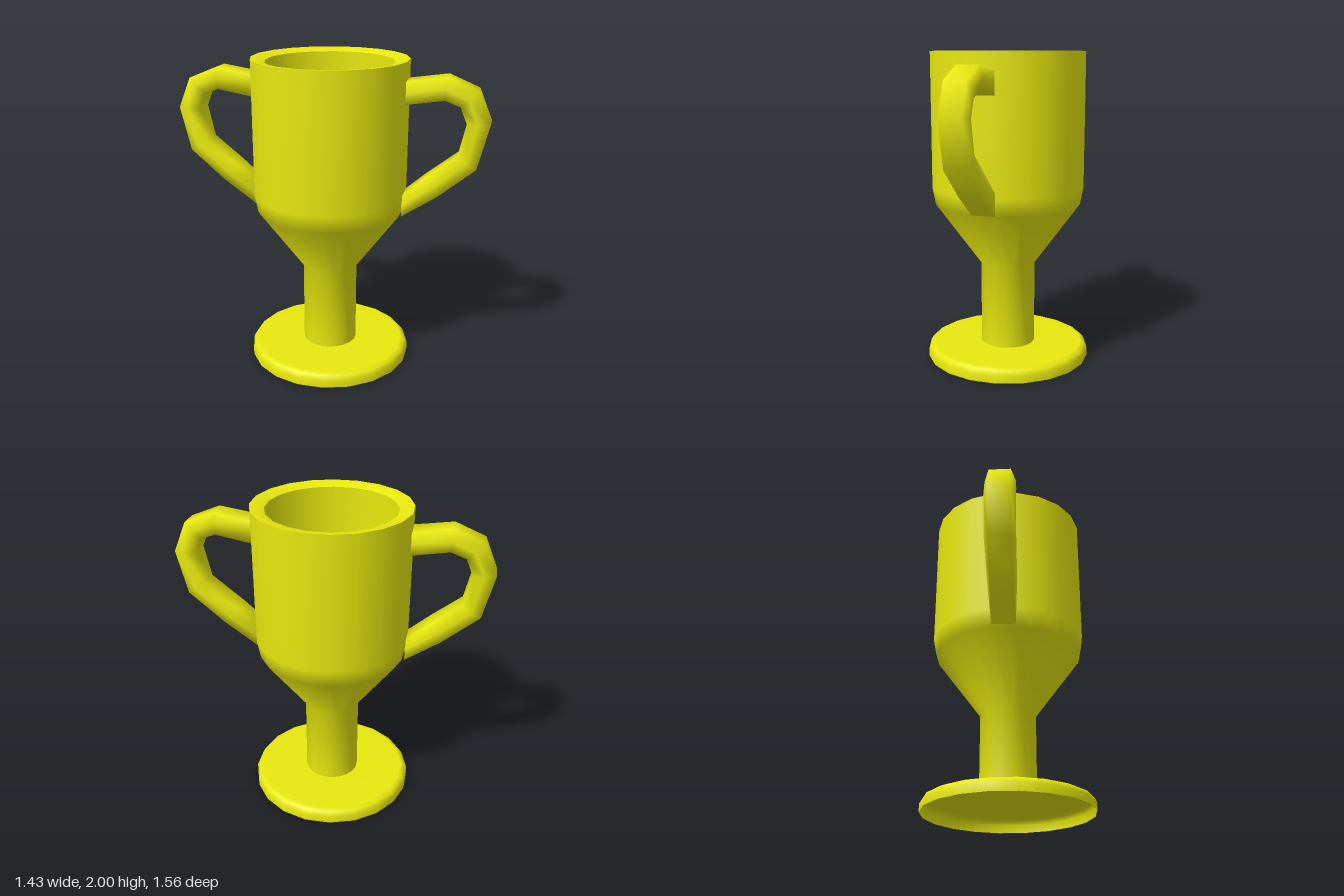
import * as THREE from 'three';

const SIDES = 20;
const deg = Math.PI / 180;
const material = new THREE.MeshStandardMaterial({ color: 0xe8e80e, side: THREE.DoubleSide });

// One smooth turned sheet; separate calls keep the edges between them sharp.
function turned(name, profile) {
  const points = profile.map(([r, y]) => new THREE.Vector2(r, y));
  const mesh = new THREE.Mesh(new THREE.LatheGeometry(points, SIDES, -2.2 * deg), material);
  mesh.name = name;
  return mesh;
}

// Bar swept along a path of [radius, height, half width at corners, half width at middle].
function handleGeometry() {
  const path = [
    [0.478, 1.815, 0.075, 0.075], [0.72, 1.853, 0.068, 0.09], [0.86, 1.797, 0.066, 0.094],
    [0.922, 1.65, 0.066, 0.094], [0.867, 1.41, 0.066, 0.094], [0.66, 1.24, 0.068, 0.09],
    [0.481, 1.105, 0.075, 0.075],
  ];
  const last = path.length - 1;
  const n = 6;
  const positions = [];
  const index = [];
  path.forEach(([r, y, corner, middle], i) => {
    const a = path[Math.max(i - 1, 0)];
    const b = path[Math.min(i + 1, last)];
    const t = new THREE.Vector2(b[0] - a[0], b[1] - a[1]);
    // Both ends are cut upright where they meet the bowl
    if (i === 0 || i === last) t.y = 0;
    t.normalize();
    const section = [[0.07, corner], [0, middle], [-0.07, corner], [-0.07, -corner], [0, -middle], [0.07, -corner]];
    for (const [out, side] of section) positions.push(r - t.y * out, y + t.x * out, side);
    if (i === 0) return;
    for (let k = 0; k < n; k++) {
      const p = (i - 1) * n + k;
      const q = (i - 1) * n + ((k + 1) % n);
      index.push(p, q, p + n, q, q + n, p + n);
    }
  });
  // End caps
  for (let k = 1; k < n - 1; k++) {
    index.push(0, k + 1, k, last * n, last * n + k, last * n + k + 1);
  }
  const geometry = new THREE.BufferGeometry();
  geometry.setAttribute('position', new THREE.Float32BufferAttribute(positions, 3));
  geometry.setIndex(index);
  geometry.computeVertexNormals();
  return geometry;
}

export function createModel() {
  const group = new THREE.Group();
  group.name = 'trophyCup';

  // Foot, open underneath; its top also closes the hollow stem
  group.add(turned('foot', [[0.534, 0], [0.534, 0.05], [0.518, 0.077], [0.49, 0.09], [0, 0.09]]));

  // Thin-walled stem and bowl with an inward lip
  group.add(
    turned('stemAndBowl', [[0.178, 0.09], [0.178, 0.63], [0.47, 1.03], [0.491, 1.14], [0.491, 2]]),
    turned('rim', [[0.491, 2], [0.45, 1.996], [0.402, 1.98]]),
  );

  // Two opposite handles
  const geometry = handleGeometry();
  for (const [name, angle] of [['leftHandle', -47.8], ['rightHandle', 132.2]]) {
    const handle = new THREE.Mesh(geometry, material);
    handle.name = name;
    handle.rotation.y = angle * deg;
    group.add(handle);
  }
  return group;
}
